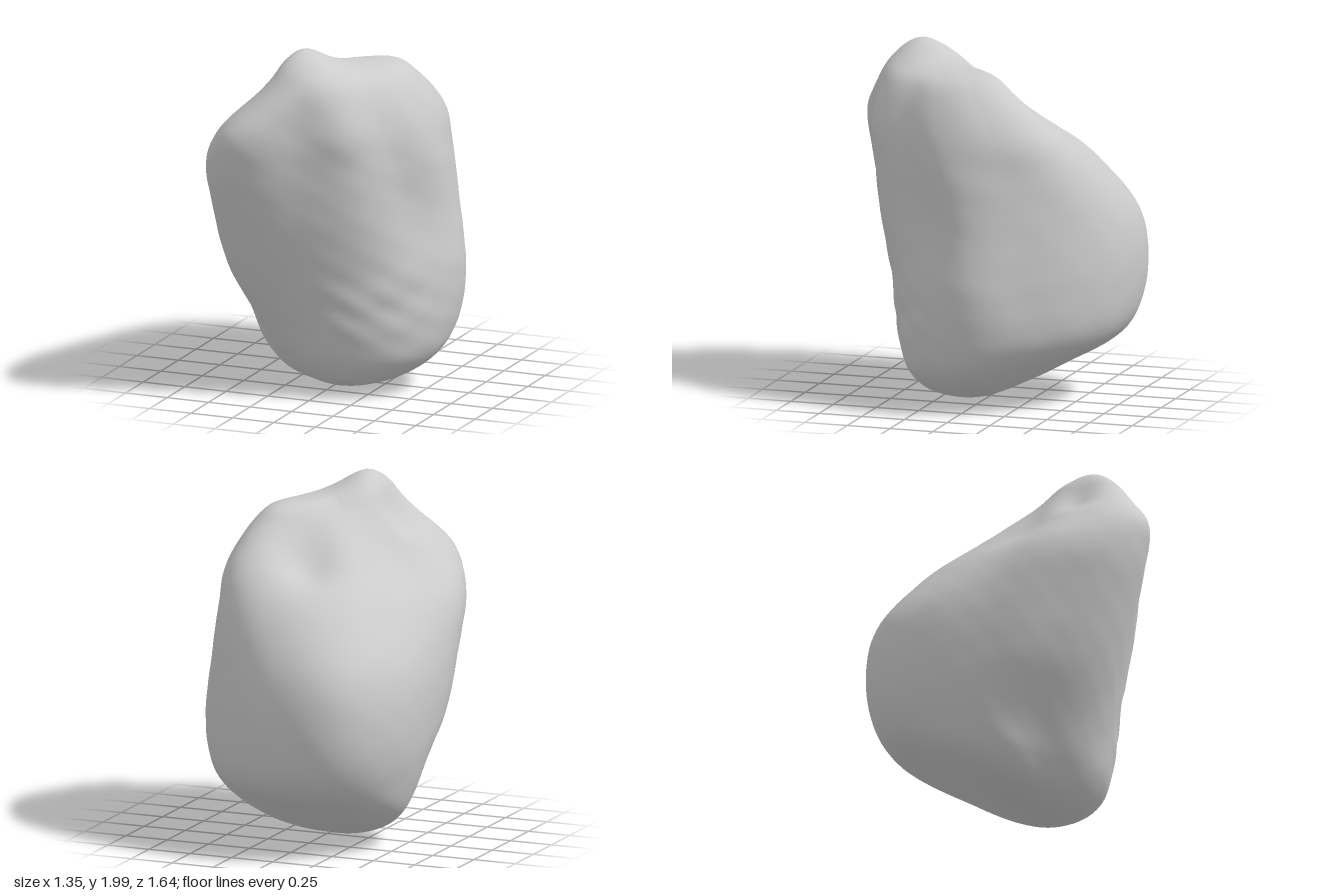
import * as THREE from 'three';
import { mergeVertices } from 'three/addons/utils/BufferGeometryUtils.js';

const SIDES = 12;
// Level: [height, centre x, centre z], then radii every 30 degrees from +x towards +z
const LEVELS = [
  [0.06, 0, 0.07, 0.32, 0.31, 0.26, 0.21, 0.19, 0.21, 0.29, 0.33, 0.25, 0.20, 0.22, 0.27],
  [0.20, 0, 0.00, 0.55, 0.54, 0.47, 0.41, 0.38, 0.39, 0.48, 0.56, 0.47, 0.41, 0.41, 0.46],
  [0.40, 0, -0.10, 0.64, 0.65, 0.62, 0.58, 0.58, 0.55, 0.60, 0.65, 0.68, 0.62, 0.57, 0.57],
  [0.70, 0, -0.10, 0.67, 0.65, 0.64, 0.66, 0.74, 0.70, 0.67, 0.72, 0.79, 0.70, 0.63, 0.61],
  [1.05, 0, -0.05, 0.62, 0.57, 0.64, 0.69, 0.83, 0.75, 0.67, 0.70, 0.79, 0.72, 0.66, 0.62],
  [1.35, 0, 0.05, 0.58, 0.52, 0.58, 0.63, 0.83, 0.73, 0.57, 0.54, 0.63, 0.68, 0.70, 0.62],
  [1.57, 0, 0.15, 0.51, 0.45, 0.51, 0.53, 0.73, 0.55, 0.36, 0.35, 0.44, 0.56, 0.69, 0.60],
  [1.78, 0.05, 0.20, 0.34, 0.30, 0.35, 0.42, 0.47, 0.33, 0.24, 0.21, 0.23, 0.31, 0.48, 0.42],
  [1.86, 0.05, 0.20, 0.21, 0.19, 0.22, 0.29, 0.32, 0.22, 0.14, 0.10, 0.09, 0.14, 0.32, 0.28],
];

// Knobs and hollows of the upper surface: [x, z, height, width]
const RELIEF = [
  [-0.09, 0.42, 0.13, 0.19],
  [0.28, -0.06, 0.01, 0.12],
  [0.0, -0.28, -0.1, 0.16],
  [-0.25, 0.39, -0.08, 0.11],
];

// Uniform Catmull-Rom value between b and c
function spline(a, b, c, d, t) {
  const m = (c - a) / 2, n = (d - b) / 2;
  return b + t * (m + t * (3 * (c - b) - 2 * m - n + t * (2 * (b - c) + m + n)));
}

// Closed levels: a pole at each end, and a mirrored level beyond it to round the cap
function cappedLevels() {
  const pole = (y, x, z) => [y, x, z, ...Array(SIDES).fill(0)];
  const beyond = (l) => l.map((v, i) => (i < 3 ? v : -l[3 + ((i - 3 + SIDES / 2) % SIDES)]));
  return [beyond(LEVELS[0]), pole(0, 0, 0.08), ...LEVELS, pole(1.88, 0.06, 0.2), beyond(LEVELS.at(-1))];
}

// Shallow weathering, strongest low on the front right face
function weathering(x, y, z) {
  const face = Math.exp(-((x - 0.35) ** 2 + (z - 0.35) ** 2) / 0.12 - ((y - 0.55) ** 2) / 0.04);
  const wave = Math.sin(21 * x + 9 * y) * Math.sin(27 * y - 8 * z) + 0.5 * Math.sin(31 * z + 25 * y + 12 * x);
  return (0.001 + 0.006 * face) * wave;
}

// Height added to the upper part of the stone
function relief(x, y, z) {
  const fade = THREE.MathUtils.smoothstep(y, 1.0, 1.5);
  return fade * RELIEF.reduce((sum, [bx, bz, height, width]) =>
    sum + height * Math.exp(-((x - bx) ** 2 + (z - bz) ** 2) / width ** 2), 0);
}

function stoneGeometry(around = 96, steps = 8) {
  const levels = cappedLevels();
  const rows = (levels.length - 3) * steps;
  const positions = [], index = [];
  for (let i = 0; i <= rows; i++) {
    // Blend the four neighbouring levels
    const s = Math.min(Math.floor(i / steps), levels.length - 4);
    const t = i / steps - s;
    const level = levels[s].map((_, k) =>
      spline(levels[s][k], levels[s + 1][k], levels[s + 2][k], levels[s + 3][k], t));
    const [y, cx, cz] = level;
    const radius = (k) => level[3 + ((k + SIDES) % SIDES)];
    for (let j = 0; j < around; j++) {
      const u = (j / around) * SIDES, k = Math.floor(u);
      const angle = (j / around) * Math.PI * 2;
      let r = spline(radius(k - 1), radius(k), radius(k + 1), radius(k + 2), u - k);
      if (i === 0 || i === rows) r = 0;
      else r += weathering(cx + r * Math.cos(angle), y, cz + r * Math.sin(angle)) * Math.min(1, r * 4);
      const x = cx + r * Math.cos(angle), z = cz + r * Math.sin(angle);
      positions.push(x, y + relief(x, y, z), z);
      if (i === rows) continue;
      const a = i * around + j, b = i * around + ((j + 1) % around);
      if (i < rows - 1) index.push(a, a + around, b + around);
      if (i > 0) index.push(a, b + around, b);
    }
  }
  const geometry = new THREE.BufferGeometry();
  geometry.setAttribute('position', new THREE.Float32BufferAttribute(positions, 3));
  geometry.setIndex(index);
  const merged = mergeVertices(geometry, 1e-5);
  merged.computeVertexNormals();
  return merged;
}

export function createModel() {
  const group = new THREE.Group();
  group.name = 'boulder';
  const stone = new THREE.Mesh(stoneGeometry(), new THREE.MeshStandardMaterial({ color: 0xcccccc }));
  stone.name = 'stone';
  group.add(stone);
  return group;
}
